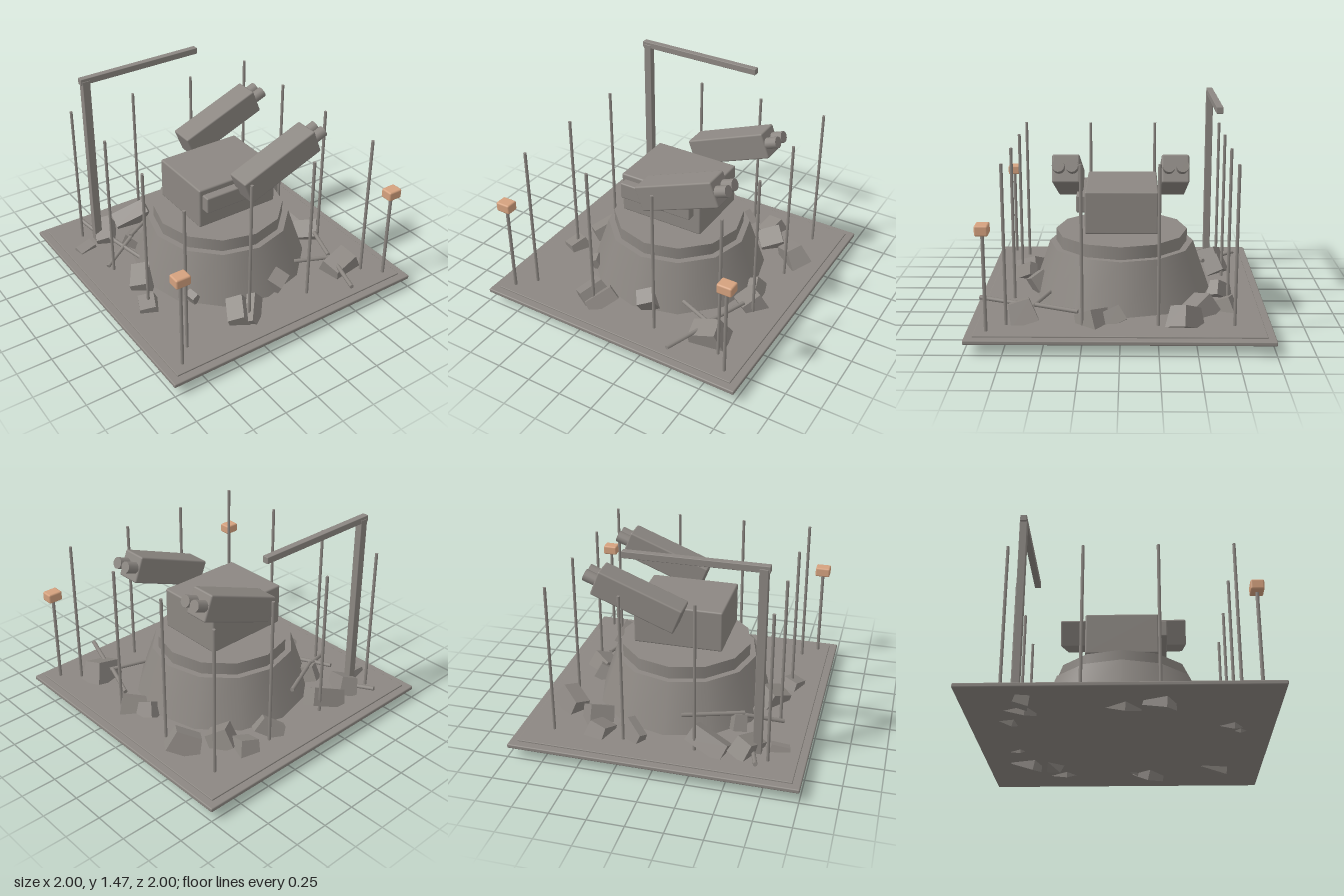
import * as THREE from 'three';
import { RoundedBoxGeometry } from 'three/addons/geometries/RoundedBoxGeometry.js';

export function createModel() {
  const model = new THREE.Group();
  const stone = new THREE.MeshStandardMaterial({ color: 0x8c8782 });
  stone.name = 'warm grey';
  const amber = new THREE.MeshStandardMaterial({ color: 0xd4a17e });
  amber.name = 'pale orange';

  function add(name, geometry, x, y, z, parent = model, material = stone) {
    const mesh = new THREE.Mesh(geometry, material);
    mesh.name = name;
    mesh.position.set(x, y, z);
    parent.add(mesh);
    return mesh;
  }
  const box = (w, h, d, r = 0.01) => new RoundedBoxGeometry(w, h, d, 2, r);

  // Ground plate with a raised inner slab
  add('basePlate', box(2, 0.03, 2, 0.008), 0, 0.105, 0);
  add('innerSlab', box(1.89, 0.02, 1.89, 0.004), 0, 0.12, 0);

  // Worn pedestal and the drum on top
  add('pedestal', new THREE.CylinderGeometry(0.515, 0.64, 0.365, 12), 0, 0.302, 0);
  add('drum', new THREE.CylinderGeometry(0.47, 0.47, 0.09, 12), 0, 0.53, 0);

  // Turret body with its front panel
  add('turretBody', box(0.635, 0.3, 0.505, 0.012), -0.002, 0.77, -0.003);
  add('frontPanel', box(0.56, 0.12, 0.07), -0.015, 0.82, 0.275);

  // Two raised launchers with paired barrels
  for (const side of [1, -1]) {
    const launcher = new THREE.Group();
    launcher.name = side > 0 ? 'frontLauncher' : 'rearLauncher';
    launcher.position.set(0.237, 1.018, side * 0.358);
    launcher.rotation.z = 0.375;
    model.add(launcher);
    add('launcherBox', box(0.625, 0.188, 0.18, 0.012), 0, 0, 0, launcher);
    for (const dz of [-0.044, 0.044]) {
      const barrel = new THREE.CylinderGeometry(0.041, 0.041, 0.2, 12).rotateZ(-Math.PI / 2);
      add('barrel', barrel, 0.298, 0.004, dz, launcher);
    }
  }

  // Ring of twelve thin poles
  const marks = [-0.75, -0.25, 0.25, 0.75];
  for (const x of marks) for (const z of marks) {
    if (Math.max(Math.abs(x), Math.abs(z)) < 0.5) continue;
    add('pole', new THREE.CylinderGeometry(0.011, 0.011, 1.09, 8), x, 0.665, z);
  }

  // Lamps at the front corners
  for (const s of [-1, 1]) {
    add('lampPost', new THREE.CylinderGeometry(0.012, 0.012, 0.66, 8), s * 0.86, 0.46, 0.867);
    add('lamp', box(0.108, 0.07, 0.088, 0.012), s * 0.86, 0.815, 0.867, model, amber);
  }

  // Crane post and boom at the back
  add('cranePost', box(0.058, 1.36, 0.052, 0.004), -0.665, 0.79, -0.664);
  add('craneBoom', box(0.95, 0.046, 0.046, 0.004), -0.23, 1.468, -0.664);

  // Rubble chunks: x, z, width, depth, yaw; height, tilt and sinking follow by rule
  const chunks = [
    [-0.80, -0.60, 0.17, 0.10, 0.2],
    [-0.60, -0.66, 0.14, 0.24, -0.4],
    [-0.34, -0.71, 0.28, 0.13, -0.1],
    [0.19, -0.70, 0.22, 0.09, -0.55],
    [0.43, -0.70, 0.15, 0.18, -0.25],
    [0.50, -0.54, 0.18, 0.16, 0.75],
    [0.73, -0.43, 0.24, 0.16, -0.6],
    [0.67, 0.05, 0.09, 0.15, 0.3],
    [0.70, 0.18, 0.18, 0.16, -0.6],
    [0.62, 0.66, 0.26, 0.19, 0.2],
    [-0.30, 0.69, 0.14, 0.21, -0.5],
    [-0.20, 0.73, 0.07, 0.22, -0.7],
    [-0.75, 0.25, 0.15, 0.17, -0.4],
    [-0.65, 0.00, 0.16, 0.22, -0.6],
    [0.10, 0.59, 0.13, 0.12, 0.6],
    [-0.47, 0.38, 0.07, 0.10, 0.3],
    [-0.48, -0.42, 0.10, 0.14, 0.5],
  ];
  const rubble = new THREE.Group();
  rubble.name = 'rubble';
  model.add(rubble);
  chunks.forEach(([x, z, w, d, yaw], i) => {
    const height = 0.07 + 0.45 * Math.min(w, d);
    const taper = 0.75 + 0.1 * (i % 3);
    const chunk = new THREE.BoxGeometry(w, height, d);
    const p = chunk.attributes.position;
    for (let k = 0; k < p.count; k++) {
      if (p.getY(k) > 0) p.setXYZ(k, p.getX(k) * taper, p.getY(k), p.getZ(k) * taper);
    }
    chunk.computeVertexNormals();
    chunk.rotateZ(0.2 + 0.1 * (i % 4)).rotateX(0.25 + 0.1 * (i % 3)).rotateY(yaw);
    chunk.computeBoundingBox();
    const low = Math.hypot(x, z) < 0.65 ? 0.1 : 0.02 + 0.015 * (i % 4);
    add('chunk', chunk, x, low - chunk.boundingBox.min.y, z, rubble);
  });

  // Fallen rods: start and end points
  const rods = [
    [-0.69, 0.18, -0.88, -0.61, 0.12, -0.58],
    [-0.78, 0.15, -0.28, -0.50, 0.24, -0.41],
    [-0.52, 0.25, -0.40, -0.12, 0.29, -0.60],
    [-0.64, 0.22, -0.50, -0.54, 0.18, -0.16],
    [0.69, 0.20, 0.28, 0.59, 0.21, 0.57],
    [0.33, 0.21, 0.49, 0.60, 0.20, 0.59],
    [0.48, 0.22, 0.96, 0.57, 0.21, 0.68],
  ];
  for (const [ax, ay, az, bx, by, bz] of rods) {
    const a = new THREE.Vector3(ax, ay, az), b = new THREE.Vector3(bx, by, bz);
    const rod = add('rod', new THREE.CylinderGeometry(0.015, 0.015, a.distanceTo(b), 8), 0, 0, 0, rubble);
    rod.position.copy(a).lerp(b, 0.5);
    rod.quaternion.setFromUnitVectors(new THREE.Vector3(0, 1, 0), b.sub(a).normalize());
  }
  return model;
}
